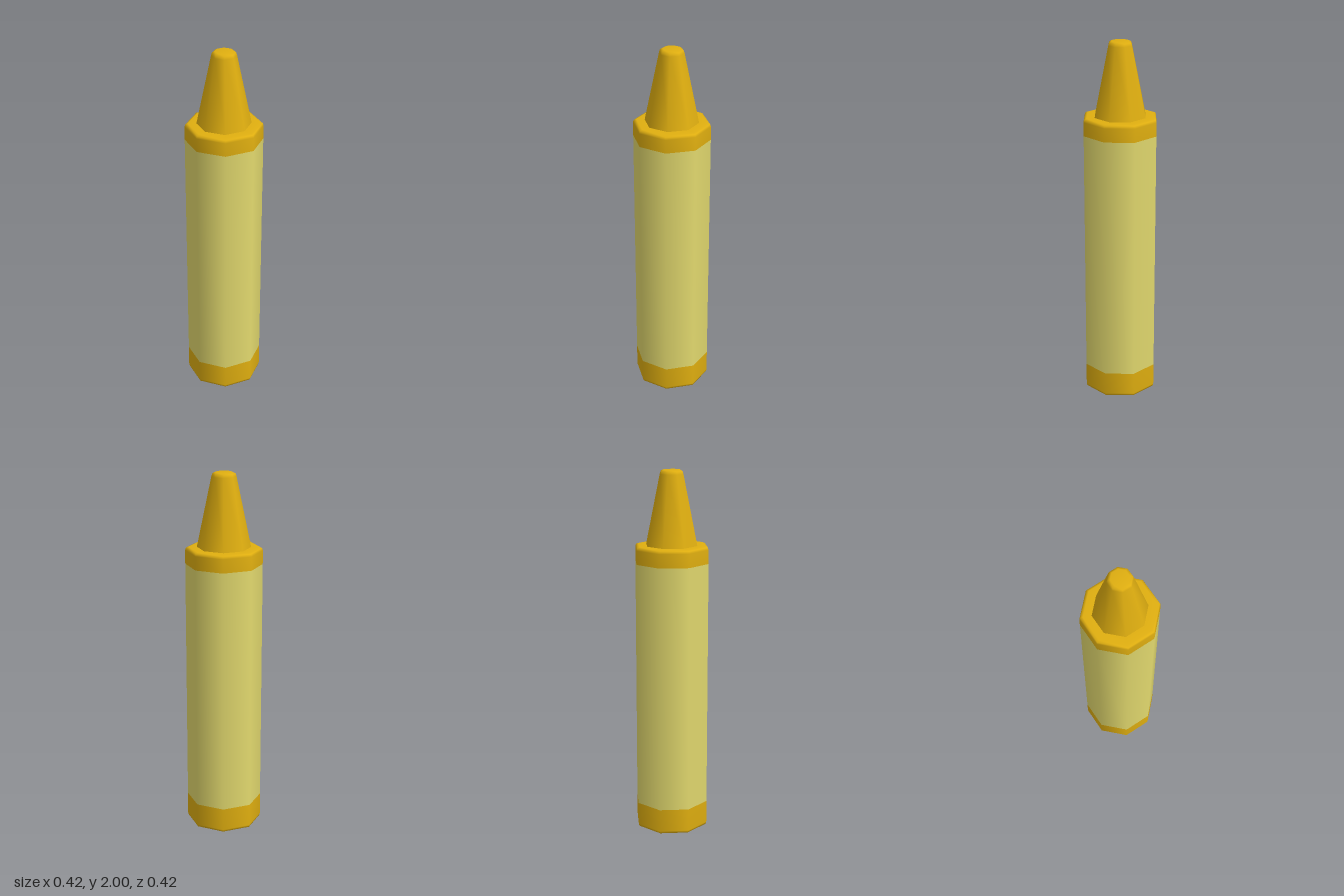
import * as THREE from 'three';

const SIDES = 8;
const RADIUS = 0.208;

export function createModel() {
  const group = new THREE.Group();
  group.name = 'crayon';

  const wax = new THREE.MeshStandardMaterial({ color: 0xe0af10 });
  wax.name = 'golden wax';
  const paper = new THREE.MeshStandardMaterial({ color: 0xe2d96e });
  paper.name = 'pale yellow paper';

  // Turns a bottom-to-top [radius, height] profile into an eight-sided part
  const turned = (name, material, profile) => {
    const points = profile.map(([r, y]) => new THREE.Vector2(r, y));
    const mesh = new THREE.Mesh(new THREE.LatheGeometry(points, SIDES), material);
    mesh.name = name;
    group.add(mesh);
  };

  // Flat bottom with a small bevel
  turned('waxBase', wax, [[0, 0], [0.1, 0], [0.193, 0], [0.204, 0.005], [RADIUS, 0.018], [RADIUS, 0.145]]);

  // Paper sleeve, flush with the wax
  turned('paperWrapper', paper, [[RADIUS, 0.145], [RADIUS, 1.507]]);

  // Bare wax band with a rounded shoulder
  turned('waxShoulder', wax, [[RADIUS, 1.507], [RADIUS, 1.582], [0.203, 1.595], [0.19, 1.6], [0.145, 1.6]]);

  // Tapered tip with a blunt, softened end
  turned('waxTip', wax, [[0.145, 1.6], [0.066, 1.978], [0.061, 1.993], [0.048, 2], [0, 2]]);

  return group;
}
